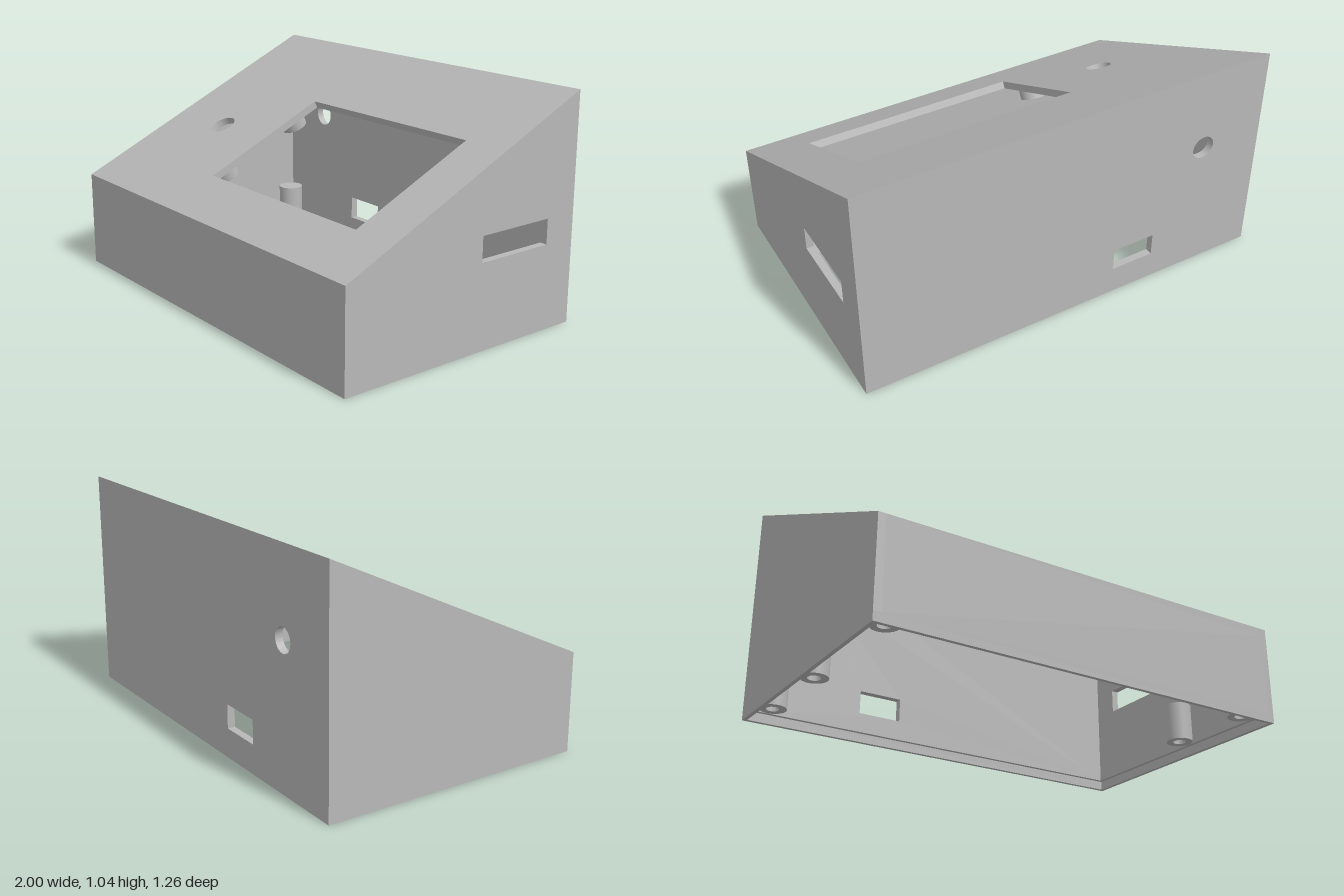
import * as THREE from 'three';
import { toCreasedNormals } from 'three/addons/utils/BufferGeometryUtils.js';

const W = 1, D = 0.63;            // half width, half depth
const FRONT = 0.455, BACK = 1.04; // wall heights
const T = 0.035;                  // wall thickness
const RIM = 0.042, LIP = 0.018;   // stepped bottom rim
const TILT = Math.atan2(BACK - FRONT, 2 * D);
const SLOPE = Math.hypot(BACK - FRONT, 2 * D);
const DROP = T / Math.cos(TILT);  // panel thickness measured vertically

export function createModel() {
  const plastic = new THREE.MeshStandardMaterial({ color: 0xb8b8b8 });
  plastic.name = 'grey plastic';
  const model = new THREE.Group();
  model.name = 'slopedEnclosure';

  const add = (parent, name, geo) => {
    const mesh = new THREE.Mesh(toCreasedNormals(geo, 0.6), plastic);
    mesh.name = name;
    parent.add(mesh);
    return mesh;
  };
  const polygon = (pts) => new THREE.Shape(pts.map(([x, y]) => new THREE.Vector2(x, y)));
  const corners = (x0, y0, x1, y1) => [[x0, y0], [x1, y0], [x1, y1], [x0, y1]];
  const circle = (x, y, r) => new THREE.Path().absarc(x, y, r, 0, Math.PI * 2, true);
  const extrude = (shape, depth, holes = []) => {
    shape.holes.push(...holes);
    return new THREE.ExtrudeGeometry(shape, { depth, bevelEnabled: false, curveSegments: 32 });
  };
  // Profile given as [z, y], extruded along x from x0
  const alongX = (pts, x0, depth, holes) =>
    extrude(polygon(pts.map(([z, y]) => [-z, y])), depth, holes)
      .rotateY(Math.PI / 2).translate(x0, 0, 0);

  // Side walls, the left one with a slot
  const side = [[D, RIM], [-D, RIM], [-D, BACK], [D, FRONT]];
  add(model, 'leftWall', alongX(side, W - T, T, [polygon(corners(0.085, 0.39, 0.47, 0.505))]));
  add(model, 'rightWall', alongX(side, -W, T));

  // Front wall, mitred under the sloping panel
  const top = FRONT - DROP;
  add(model, 'frontWall', alongX(
    [[D, RIM], [D - T, RIM], [D - T, top + T * Math.tan(TILT)], [D, top]], -W + T, 2 * (W - T)));

  // Back wall with a cable hole and a connector cutout
  add(model, 'backWall', extrude(
    polygon(corners(-W + T, RIM, W - T, BACK - DROP)), T,
    [circle(-0.684, 0.652, 0.055), polygon(corners(-0.447, 0.135, -0.237, 0.245))],
  ).translate(0, 0, -D));

  // Thin lip around the open bottom
  add(model, 'bottomLip', extrude(
    polygon(corners(-W, -D, W, D)), RIM,
    [polygon(corners(-W + LIP, -D + LIP, W - LIP, D - LIP))],
  ).rotateX(-Math.PI / 2));

  // Sloping panel with a display window and a button hole; y runs up the slope
  const upSlope = (z) => (D - z) / Math.cos(TILT);
  const panel = new THREE.Group();
  panel.name = 'slopingPanel';
  panel.rotation.x = TILT - Math.PI / 2;
  panel.position.set(0, FRONT, D);
  model.add(panel);
  const plate = extrude(
    polygon(corners(-W + T, 0, W - T, SLOPE)), T,
    [polygon(corners(-0.257, upSlope(0.39), 0.77, upSlope(-0.2))),
      circle(-0.615, upSlope(0.095), 0.06)],
  ).translate(0, 0, -T);
  // Shear the inner edge so both ends stand vertical
  const p = plate.attributes.position;
  for (let i = 0; i < p.count; i++) {
    const y = p.getY(i);
    const atEnd = y < 1e-4 || y > SLOPE - 1e-4;
    if (atEnd && p.getZ(i) < -T / 2) p.setY(i, y - T * Math.tan(TILT));
  }
  add(panel, 'panelPlate', plate);

  // Round post with a blind screw hole in its lower end
  const post = (height, hole) => new THREE.LatheGeometry(
    [[0, hole], [0.03, hole], [0.03, 0], [0.062, 0], [0.062, height], [0, height]]
      .map(([x, y]) => new THREE.Vector2(x, y)), 32);

  // Posts for the bottom cover
  const posts = [[-0.9, 0.53], [-0.9, -0.094], [-0.9, -0.53], [0.9, 0.53], [0.9, 0.11]];
  for (const [x, z] of posts) {
    add(model, 'coverPost', post(0.18, 0.13)).position.set(x, RIM, z);
  }

  // Short display standoffs under the panel
  for (const x of [-0.35, 0.863]) {
    for (const z of [0.295, -0.105]) {
      add(panel, 'displayStandoff', post(0.06, 0.05).rotateX(Math.PI / 2))
        .position.set(x, upSlope(z), -T - 0.06);
    }
  }
  return model;
}
